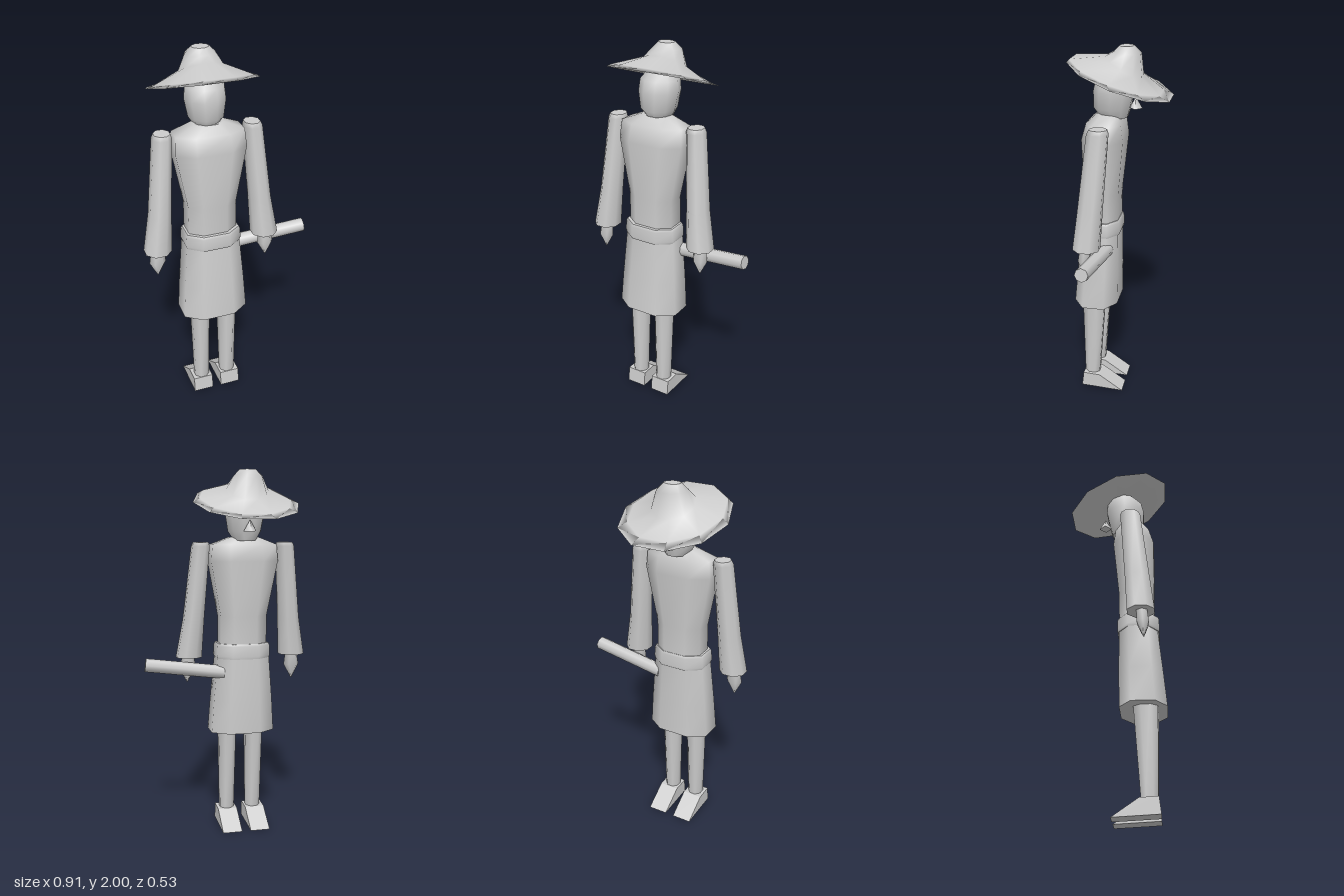
import * as THREE from 'three';

const grey = new THREE.MeshStandardMaterial({ color: 0xcccccc });
grey.name = 'plain grey';
const CX = -0.09; // middle of the body

// Smooth loft through rings [y, centreX, centreZ, radiusX, radiusZ, rise of y per z], bottom to top.
// power < 1 squares the cross-section; end caps are flat.
function loft(rings, sides, phase = 0, power = 1) {
  const pos = [], index = [];
  const squash = (v) => Math.sign(v) * Math.abs(v) ** power;
  const addRing = ([y, cx, cz, rx, rz, tilt = 0]) => {
    const start = pos.length / 3;
    for (let i = 0; i < sides; i++) {
      const a = phase + (i / sides) * Math.PI * 2;
      const dz = rz * squash(Math.sin(a));
      pos.push(cx + rx * squash(Math.cos(a)), y + tilt * dz, cz + dz);
    }
    return start;
  };
  const starts = rings.map(addRing);
  for (let r = 0; r < rings.length - 1; r++) {
    for (let i = 0; i < sides; i++) {
      const j = (i + 1) % sides;
      const a = starts[r] + i, b = starts[r] + j, c = starts[r + 1] + i, d = starts[r + 1] + j;
      index.push(a, c, b, b, c, d);
    }
  }
  const cap = (ring, up) => {
    const s = addRing(ring), centre = pos.length / 3;
    pos.push(ring[1], ring[0], ring[2]);
    for (let i = 0; i < sides; i++) {
      const a = s + i, b = s + (i + 1) % sides;
      if (up) index.push(centre, b, a); else index.push(centre, a, b);
    }
  };
  cap(rings[0], false);
  cap(rings[rings.length - 1], true);
  const g = new THREE.BufferGeometry();
  g.setAttribute('position', new THREE.Float32BufferAttribute(pos, 3));
  g.setIndex(index);
  g.computeVertexNormals();
  return g;
}

export function createModel() {
  const model = new THREE.Group();
  model.name = 'figure';
  const add = (name, geometry) => {
    const mesh = new THREE.Mesh(geometry, grey);
    mesh.name = name;
    model.add(mesh);
    return mesh;
  };
  const eighth = Math.PI / 8;

  // Hat: underside, tilted rim, brim top, crown
  add('hat', loft([
    [1.845, CX, 0.0, 0.1, 0.1, 0.34],
    [1.83, CX, 0, 0.29, 0.279, 0.34],
    [1.85, CX, 0.02, 0.25, 0.245, 0.36],
    [1.895, CX, -0.02, 0.115, 0.1, 0.55],
    [1.967, CX, -0.035, 0.078, 0.072, 0.05],
    [2.0, CX, -0.03, 0.045, 0.038],
  ], 10));

  // Head and nose
  add('head', loft([
    [1.63, CX, 0.035, 0.06, 0.075],
    [1.68, CX, 0.044, 0.092, 0.1],
    [1.77, CX, 0.035, 0.108, 0.11],
    [1.83, CX, 0.03, 0.102, 0.1],
    [1.87, CX, 0.02, 0.07, 0.07],
  ], 10));
  const nose = add('nose', new THREE.ConeGeometry(0.035, 0.06, 4));
  nose.position.set(CX, 1.71, -0.08);

  // Tunic, belt and skirt
  add('tunic', loft([
    [1.03, CX, 0.097, 0.138, 0.1],
    [1.22, CX, 0.095, 0.138, 0.1],
    [1.52, CX, 0.083, 0.198, 0.118],
    [1.61, CX, 0.076, 0.19, 0.098],
    [1.65, CX, 0.065, 0.08, 0.06],
  ], 8, eighth, 0.8));
  add('belt', loft([
    [0.985, CX, 0.104, 0.155, 0.116],
    [1.0, CX, 0.104, 0.16, 0.118],
    [1.055, CX, 0.104, 0.157, 0.117],
    [1.068, CX, 0.104, 0.15, 0.11],
  ], 8, eighth, 0.8));
  add('skirt', loft([
    [0.563, CX, 0.125, 0.19, 0.13],
    [0.75, CX, 0.115, 0.177, 0.122],
    [1.0, CX, 0.103, 0.155, 0.108],
  ], 8, eighth, 0.8));

  // Wedge-shaped shoe profile in z and y
  const shoe = new THREE.Shape([
    [0.205, 0.015], [-0.035, 0.003], [0.1, 0.095], [0.195, 0.1],
  ].map(([z, y]) => new THREE.Vector2(z, y)));

  for (const s of [1, -1]) {
    const side = s > 0 ? 'left' : 'right';

    // Sleeve and pointed hand
    add(side + 'Sleeve', loft([
      [0.99, CX + s * 0.296, 0.125, 0.074, 0.075],
      [1.2, CX + s * 0.272, 0.108, 0.06, 0.068],
      [1.6, CX + s * 0.237, 0.073, 0.051, 0.058],
      [1.622, CX + s * 0.235, 0.071, 0.043, 0.048],
    ], 8, eighth));
    add(side + 'Hand', loft([
      [0.848, CX + s * 0.304, 0.138, 0.003, 0.003],
      [0.925, CX + s * 0.302, 0.135, 0.044, 0.035],
      [1.01, CX + s * 0.298, 0.128, 0.033, 0.03],
    ], 6));

    // Leg and shoe
    add(side + 'Leg', loft([
      [0.08, CX + s * 0.077, 0.15, 0.043, 0.045],
      [0.62, CX + s * 0.077, 0.135, 0.053, 0.07],
    ], 8, eighth));
    const g = new THREE.ExtrudeGeometry(shoe, { depth: 0.11, bevelEnabled: false });
    g.rotateY(-Math.PI / 2);
    g.translate(CX + s * 0.08 + 0.055, 0, 0);
    add(side + 'Shoe', g);
  }

  // Stick tucked in at the belt
  const from = new THREE.Vector3(0.02, 0.908, 0.055), to = new THREE.Vector3(0.453, 0.958, 0.093);
  const along = to.clone().sub(from);
  const stick = add('stick', new THREE.CylinderGeometry(0.037, 0.037, along.length(), 8));
  stick.position.copy(from).add(to).multiplyScalar(0.5);
  stick.quaternion.setFromUnitVectors(new THREE.Vector3(0, 1, 0), along.normalize());

  return model;
}
